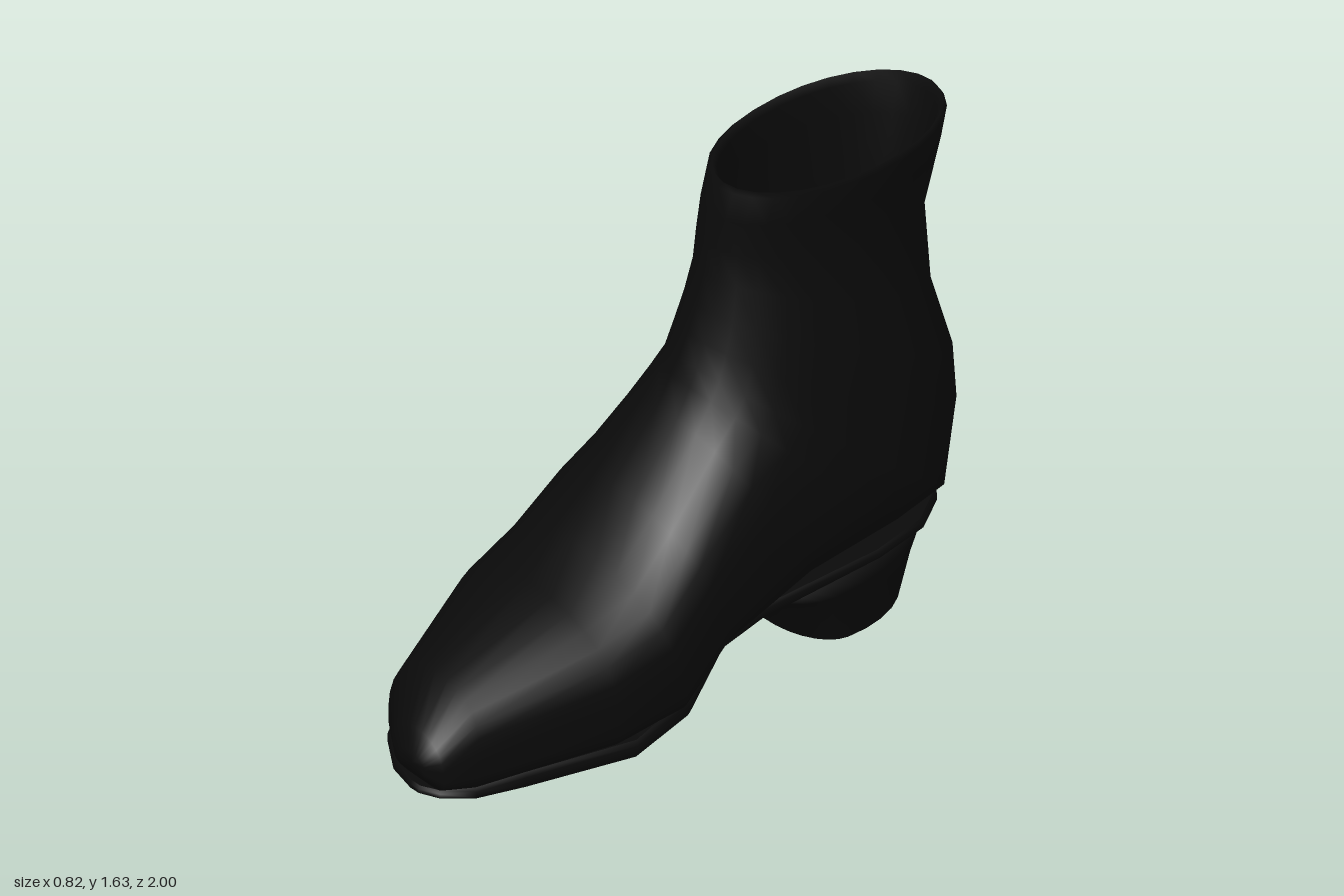
import * as THREE from 'three';

function build(pos, idx) {
  const g = new THREE.BufferGeometry();
  g.setAttribute('position', new THREE.Float32BufferAttribute(pos, 3));
  g.setIndex(idx);
  g.computeVertexNormals();
  return g;
}

// Skin a list of closed rings; the chosen ends are closed with fans.
function loft(rings, capStart, capEnd) {
  const n = rings[0].length, idx = [];
  const pos = rings.flat().flatMap(p => p.toArray());
  for (let k = 0; k < rings.length - 1; k++)
    for (let i = 0; i < n; i++) {
      const a = k * n + i, b = k * n + (i + 1) % n;
      idx.push(a, b, a + n, b, b + n, a + n);
    }
  const cap = (k, flip) => {
    const c = new THREE.Vector3(), ci = pos.length / 3;
    rings[k].forEach(p => c.addScaledVector(p, 1 / n));
    pos.push(c.x, c.y, c.z);
    for (let i = 0; i < n; i++) {
      const a = k * n + i, b = k * n + (i + 1) % n;
      if (flip) idx.push(ci, b, a); else idx.push(ci, a, b);
    }
  };
  if (capStart) cap(0, true);
  if (capEnd) cap(rings.length - 1, false);
  return build(pos, idx);
}

// Rounded ring from a front point to a back point in the side plane.
// Upright rings (the forefoot) have a square lower half, and are widest
// lower down on the outer side than on the inner side.
function section([zf, yf, zb, yb, xc, hw], widest) {
  const upright = Math.abs(yf - yb) / Math.hypot(zf - zb, yf - yb);
  const ring = [];
  for (let i = 0; i < 28; i++) {
    const a = i / 28 * Math.PI * 2, s = Math.sin(a), c = Math.cos(a);
    const w = widest ?? 0.5 + upright ** 2 * (s > 0 ? 0.05 : 0.2);
    const e = 2 / (c < 0 ? 2 + 2.5 * upright ** 3 : 2 + (s > 0 ? 0.3 * upright ** 3 : 0));
    const t = Math.abs(c) ** e;
    const f = c >= 0 ? w * (1 - t) : w + (1 - w) * t;
    ring.push(new THREE.Vector3(xc + hw * Math.sign(s) * Math.abs(s) ** e,
      THREE.MathUtils.lerp(yf, yb, f), THREE.MathUtils.lerp(zf, zb, f)));
  }
  return ring;
}

// Piecewise linear height along the length, table runs from toe to heel
function along(table, z) {
  const i = Math.max(1, table.findIndex(p => p[0] <= z));
  const [z0, y0] = table[i - 1], [z1, y1] = table[i];
  return THREE.MathUtils.mapLinear(z, z0, z1, y0, y1);
}

export function createModel() {
  const boot = new THREE.Group();
  boot.name = 'ankleBoot';
  const leather = new THREE.MeshStandardMaterial({ color: 0x0a0a0a });
  leather.name = 'black leather';
  const add = (name, geo) => {
    const m = new THREE.Mesh(geo, leather);
    m.name = name;
    boot.add(m);
  };

  // Upper: sections fan from the toe, round the heel and up the shaft
  // [front z, front y, back z, back y, centre x, half width]
  const foot = [
    [1.0, 0.21, 0.985, 0.14, 0.2, 0.06],
    [0.965, 0.27, 0.945, 0.09, 0.18, 0.12],
    [0.85, 0.39, 0.86, 0.07, 0.125, 0.215],
    [0.45, 0.485, 0.4, 0.06, 0.025, 0.385],
    [0.28, 0.545, 0.15, 0.09, 0, 0.41],
    [0.12, 0.66, -0.05, 0.21, -0.03, 0.385],
    [-0.04, 0.86, -0.4, 0.28, -0.03, 0.335],
    [-0.075, 0.955, -0.75, 0.32, -0.015, 0.322],
    [-0.095, 1.01, -0.94, 0.36, -0.005, 0.3],
  ];
  const shaft = [
    [-0.12, 1.08, -1.0, 0.62, 0, 0.285],
    [-0.145, 1.17, -0.99, 0.8, 0.008, 0.265],
    [-0.17, 1.27, -0.92, 1.04, 0.012, 0.238],
    [-0.18, 1.36, -0.908, 1.29, 0.01, 0.222],
    [-0.188, 1.46, -0.953, 1.51, 0.024, 0.236],
    [-0.205, 1.55, -0.96, 1.615, 0.036, 0.248],
  ];
  // rim, then the lining set in from the shaft, down to the insole
  const rim = [-0.22, 1.56, -0.95, 1.632, 0.036, 0.235];
  const lining = shaft.map(([zf, yf, zb, yb, xc, hw]) =>
    [zf - 0.03, yf - 0.01, zb + 0.03, yb - 0.01, xc, hw - 0.028]).reverse();
  const insole = [-0.2, 0.5, -0.84, 0.45, -0.01, 0.19];
  const sections = [...foot, ...shaft, rim, ...lining, insole];
  add('upper', loft(sections.map(s => section(s)), true, true));

  // Sole: plan outline as [z, lowest x, highest x] stations
  const plan = [
    [0.98, 0.18, 0.22], [0.95, 0.06, 0.28], [0.86, -0.09, 0.33], [0.7, -0.23, 0.35],
    [0.35, -0.375, 0.405], [0.13, -0.4, 0.355], [-0.04, -0.365, 0.28], [-0.2, -0.325, 0.265],
    [-0.6, -0.29, 0.265], [-0.78, -0.24, 0.225], [-0.89, -0.15, 0.14], [-0.95, -0.05, 0.05],
  ];
  const soleBottom = [[0.98, 0.035], [0.8, 0.008], [0.6, 0], [0.28, 0],
    [0.15, 0.02], [-0.04, 0.165], [-0.2, 0.235], [-0.45, 0.275], [-0.95, 0.31]];
  const soleTop = [[0.98, 0.085], [0.3, 0.095], [0.15, 0.13],
    [-0.04, 0.235], [-0.2, 0.285], [-0.95, 0.36]];
  const outline = [...plan.map(p => [p[2], p[0]]), ...plan.map(p => [p[1], p[0]]).reverse()];
  // Ring at height fraction h, pulled in by inset; the tread rolls up sideways
  const soleRing = (h, inset) => outline.map(([x, z]) => {
    const px = x * (1 - inset);
    const roll = z > -0.2 ? 0.06 * Math.abs(px + 0.25) * (1 - 0.7 * h) : 0;
    const y = THREE.MathUtils.lerp(along(soleBottom, z), along(soleTop, z), h);
    return new THREE.Vector3(px, y + roll, z * (1 - inset * 0.3));
  });
  // Face of the sole in strips across its width, so that it follows the arch
  const soleFace = (ring, up) => {
    const last = ring.length - 1, idx = [];
    for (let a = 0; a < plan.length - 1; a++) {
      const b = a + 1, c = last - b, d = last - a;
      if (up) idx.push(a, b, c, a, c, d); else idx.push(a, c, b, a, d, c);
    }
    return build(ring.flatMap(p => p.toArray()), idx);
  };
  const wall = [[0, 0.12], [0.15, 0.04], [0.4, 0], [0.8, 0], [1, 0.03]].map(r => soleRing(...r));
  add('soleEdge', loft(wall, false, false));
  add('soleTread', soleFace(wall[0], false));
  add('soleWelt', soleFace(wall[wall.length - 1], true));

  // Heel block: tapers down, with a hollowed breast and a rounded back
  const heel = [
    [-0.4, 0.038, -0.83, 0.045, -0.015, 0.225],
    [-0.33, 0.15, -0.88, 0.2, -0.015, 0.25],
    [-0.27, 0.2, -0.905, 0.25, -0.015, 0.265],
    [-0.19, 0.245, -0.935, 0.325, -0.02, 0.28],
  ].map(s => section(s, 0.3));
  add('heel', loft([heel[0], ...heel], true, true));

  return boot;
}
